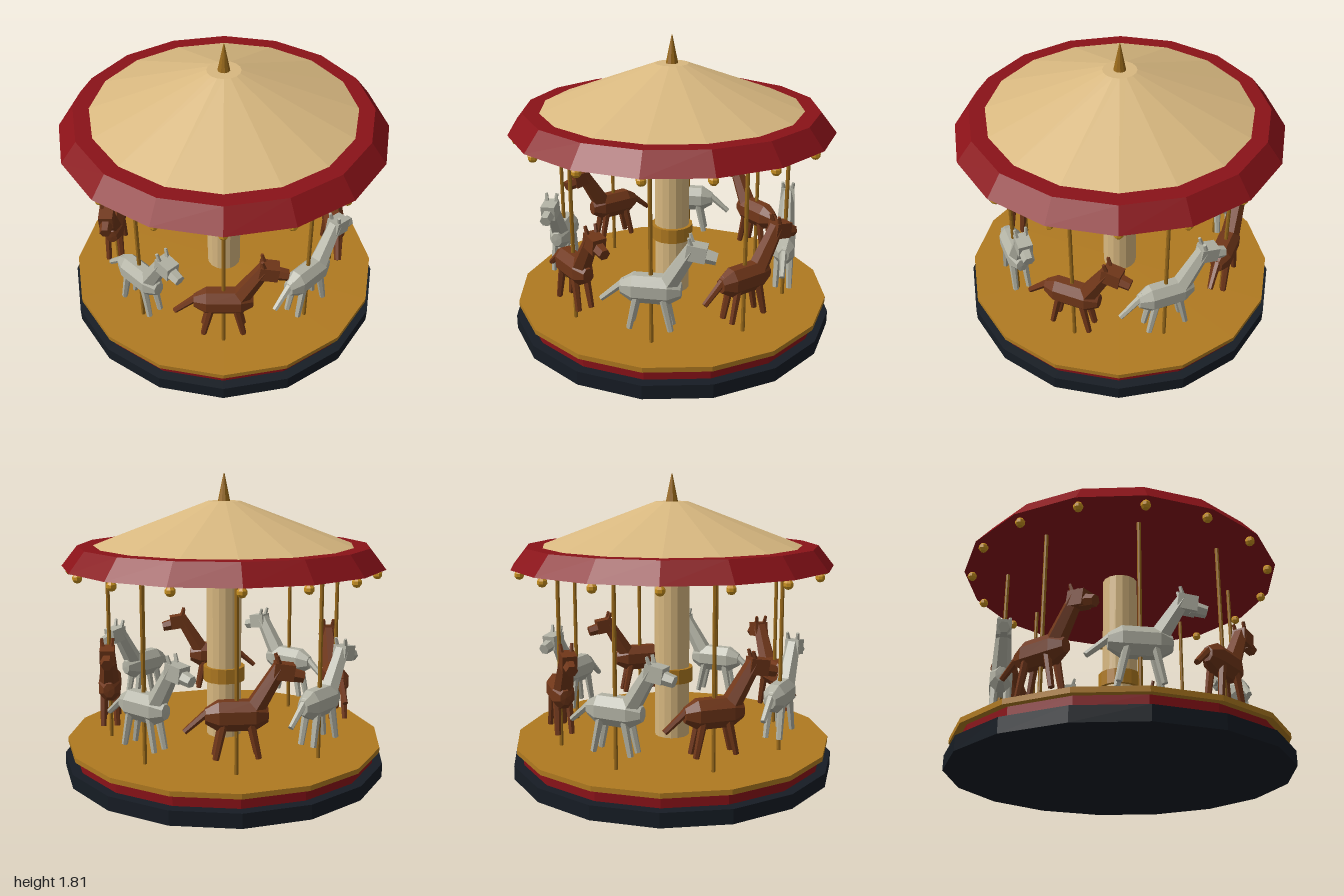
import * as THREE from 'three';

const paint = (color) => new THREE.MeshStandardMaterial({ color, flatShading: true });
const navy = paint(0x161c24), red = paint(0x8a1218), gold = paint(0xb07a20);
const beige = paint(0xd8b880), brass = paint(0x9a6a1a), bulbGold = paint(0xc8901f);
const grey = paint(0xb2b2a4), brown = paint(0x713719);

function add(parent, name, geometry, material, x = 0, y = 0, z = 0) {
  const mesh = new THREE.Mesh(geometry, material);
  mesh.name = name;
  mesh.position.set(x, y, z);
  parent.add(mesh);
  return mesh;
}

// Upright drum or frustum between two heights
function drum(parent, name, material, rBottom, rTop, y0, y1, sides = 16) {
  return add(parent, name, new THREE.CylinderGeometry(rTop, rBottom, y1 - y0, sides), material, 0, (y0 + y1) / 2, 0);
}

// Tapered rod from point a to point b
function rod(parent, name, material, a, b, ra, rb, sides = 6) {
  const from = new THREE.Vector3(...a), to = new THREE.Vector3(...b);
  const dir = to.clone().sub(from);
  const mesh = add(parent, name, new THREE.CylinderGeometry(rb, ra, dir.length(), sides), material);
  mesh.position.copy(from).add(to).multiplyScalar(0.5);
  mesh.quaternion.setFromUnitVectors(new THREE.Vector3(0, 1, 0), dir.normalize());
  return mesh;
}

// Horse facing +x, its middle over the local origin
function createHorse(material) {
  const horse = new THREE.Group();
  horse.name = 'horse';

  // Faceted barrel body
  const profile = [[0, -0.175], [0.045, -0.172], [0.09, -0.1], [0.09, 0.1], [0.045, 0.172], [0, 0.175]]
    .map(([r, l]) => new THREE.Vector2(r, l));
  const barrel = new THREE.LatheGeometry(profile, 8, Math.PI / 8);
  barrel.rotateZ(-Math.PI / 2);
  barrel.scale(1, 1, 0.78);
  add(horse, 'body', barrel, material, 0, 0.527, 0);

  // Neck, head and muzzle
  rod(horse, 'neck', material, [0.09, 0.55, 0], [0.235, 0.79, 0], 0.06, 0.043);
  const head = add(horse, 'head', new THREE.BoxGeometry(0.11, 0.09, 0.085), material, 0.255, 0.768, 0);
  head.rotation.z = -0.15;
  rod(horse, 'muzzle', material, [0.28, 0.752, 0], [0.365, 0.732, 0], 0.042, 0.034);

  // Ears and legs, mirrored across the body
  for (const s of [-1, 1]) {
    rod(horse, 'ear', material, [0.235, 0.79, s * 0.026], [0.215, 0.86, s * 0.033], 0.016, 0.01, 5);
    for (const e of [-1, 1]) {
      rod(horse, 'leg', material, [e * 0.075, 0.49, s * 0.036], [e * 0.118, 0.29, s * 0.042], 0.024, 0.018);
    }
  }
  rod(horse, 'tail', material, [-0.14, 0.565, 0], [-0.285, 0.44, 0], 0.024, 0.017);
  return horse;
}

export function createModel() {
  const model = new THREE.Group();
  model.name = 'carousel';

  // Stepped platform
  drum(model, 'base', navy, 1, 1, 0, 0.085);
  drum(model, 'platformRim', red, 0.94, 0.94, 0.085, 0.155);
  drum(model, 'floor', gold, 0.98, 0.98, 0.155, 0.185);

  // Central column with its band
  drum(model, 'column', beige, 0.108, 0.108, 0.185, 1.265);
  drum(model, 'columnBand', gold, 0.13, 0.13, 0.535, 0.625);

  // Canopy and finial
  drum(model, 'valance', red, 0.98, 0.885, 1.265, 1.385);
  drum(model, 'roof', beige, 0.79, 0.1, 1.385, 1.645);
  drum(model, 'finial', brass, 0.037, 0.003, 1.645, 1.81, 10);

  // Bulbs under the canopy edge
  const bulb = new THREE.SphereGeometry(0.029, 8, 5);
  for (let i = 0; i < 16; i++) {
    const a = (i * Math.PI) / 8;
    add(model, 'bulb', bulb, bulbGold, 0.93 * Math.sin(a), 1.237, 0.93 * Math.cos(a));
  }

  // Poles with horses riding anticlockwise
  for (let i = 0; i < 8; i++) {
    const mount = new THREE.Group();
    mount.name = 'mount';
    mount.rotation.y = (i * Math.PI) / 4;
    const horse = createHorse(i % 2 ? brown : grey);
    horse.position.z = 0.71;
    mount.add(horse);
    drum(mount, 'pole', brass, 0.012, 0.012, 0.185, 1.265, 8).position.z = 0.71;
    model.add(mount);
  }
  return model;
}
